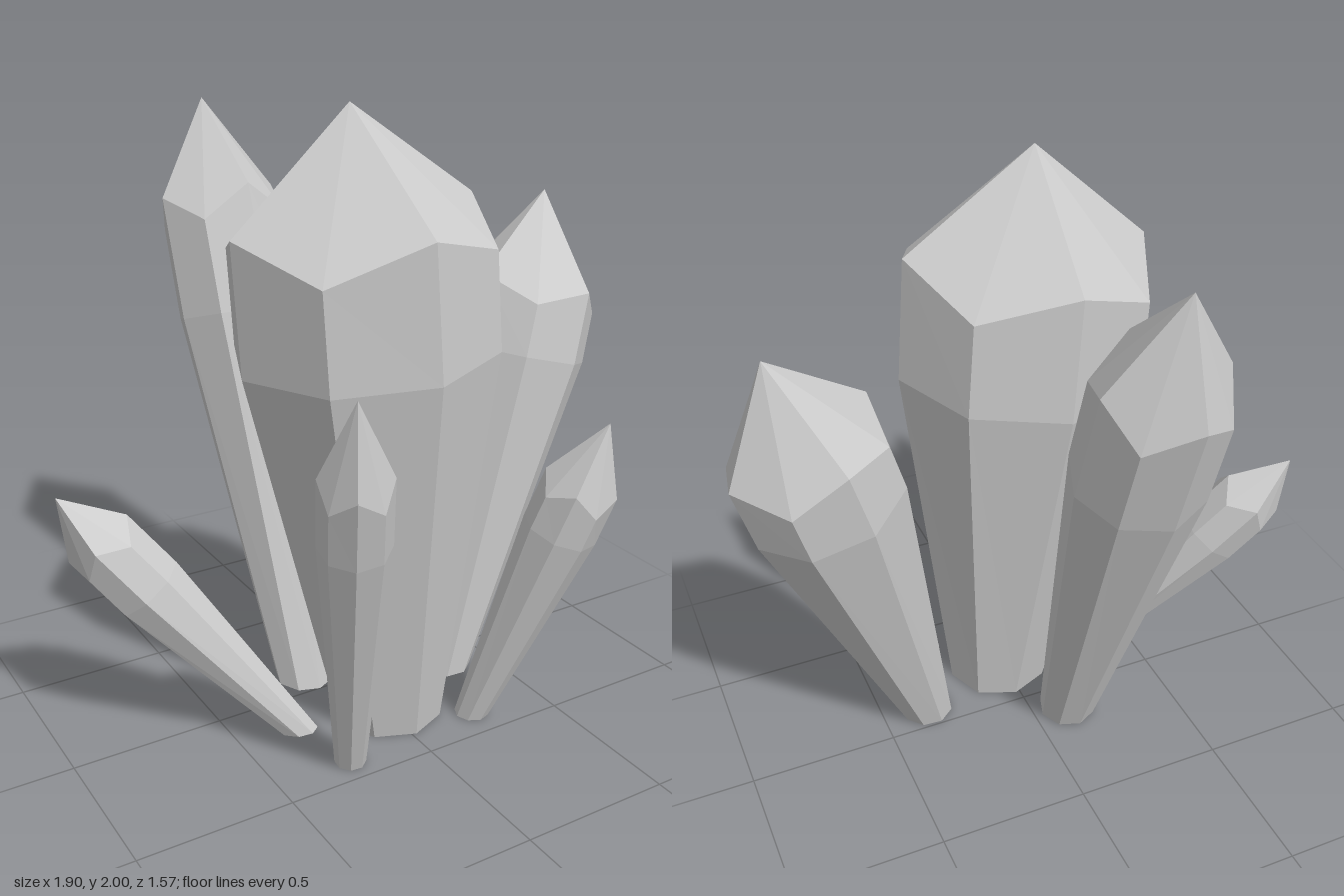
import * as THREE from 'three';

const SIDES = 8;

// One crystal: a shaft flaring from the ground to a shoulder, then a rim whose
// every second corner dips, then a point. The rim is turned towards the lean.
function crystal({ name, base, apex, baseR, r, shoulder, rim, dip }) {
  const foot = new THREE.Vector3(base[0], 0, base[1]);
  const tip = new THREE.Vector3(...apex);
  const shaft = tip.clone().sub(foot);
  const axis = shaft.clone().normalize();
  const side = new THREE.Vector3(0, 1, 0).cross(axis).normalize();
  const out = side.clone().cross(axis); // leans outwards and down

  const ring = (t, radius, drop = 0) => Array.from({ length: SIDES }, (_, i) => {
    const a = (i / SIDES) * Math.PI * 2;
    return foot.clone().addScaledVector(shaft, t)
      .addScaledVector(out, Math.cos(a) * radius)
      .addScaledVector(side, Math.sin(a) * radius)
      .addScaledVector(axis, i % 2 ? -drop : 0);
  });

  // The lowest ring slides along the axis until it lies flat on the ground
  const bottom = ring(0, baseR);
  bottom.forEach((p) => p.addScaledVector(axis, -p.y / axis.y));
  const rings = [bottom, ring(shoulder, r * 1.02), ring(rim, r * 1.01, dip)];

  const points = [...rings.flat(), foot, tip];
  const footId = SIDES * rings.length;
  const tipId = footId + 1;
  const top = footId - SIDES;
  const index = [];
  for (let i = 0; i < SIDES; i++) {
    const j = (i + 1) % SIDES;
    for (let k = 0; k < top; k += SIDES) {
      const a = k + i, b = k + j;
      index.push(a, b, a + SIDES, b, b + SIDES, a + SIDES);
    }
    index.push(footId, j, i, top + i, top + j, tipId);
  }

  const indexed = new THREE.BufferGeometry().setFromPoints(points);
  indexed.setIndex(index);
  const geometry = indexed.toNonIndexed();
  geometry.computeVertexNormals();

  const mesh = new THREE.Mesh(geometry,
    new THREE.MeshStandardMaterial({ color: 0xcccccc, flatShading: true }));
  mesh.name = name;
  return mesh;
}

export function createModel() {
  const group = new THREE.Group();
  group.name = 'crystalCluster';

  // base is x, z on the ground; shoulder and rim are fractions of the length
  const crystals = [
    { name: 'mainCrystal', base: [0.015, 0.215], apex: [-0.13, 2.0, 0.215], baseR: 0.18, r: 0.402, shoulder: 0.637, rim: 0.84, dip: 0.1 },
    { name: 'backCrystal', base: [-0.125, -0.1], apex: [-0.165, 1.92, -0.68], baseR: 0.097, r: 0.206, shoulder: 0.645, rim: 0.844, dip: 0.095 },
    { name: 'leftCrystal', base: [0.34, 0.09], apex: [0.803, 1.62, -0.055], baseR: 0.085, r: 0.25, shoulder: 0.673, rim: 0.815, dip: 0.066 },
    { name: 'lowRightCrystal', base: [-0.3, 0.17], apex: [-0.95, 0.86, -0.12], baseR: 0.05, r: 0.117, shoulder: 0.64, rim: 0.837, dip: 0.06 },
    { name: 'frontRightCrystal', base: [-0.245, 0.41], apex: [-0.435, 1.345, 0.76], baseR: 0.05, r: 0.105, shoulder: 0.65, rim: 0.82, dip: 0.065 },
    { name: 'frontLeftCrystal', base: [0.24, 0.385], apex: [0.5, 1.07, 0.67], baseR: 0.053, r: 0.115, shoulder: 0.66, rim: 0.81, dip: 0.055 },
  ];
  crystals.forEach((c) => group.add(crystal(c)));
  return group;
}
